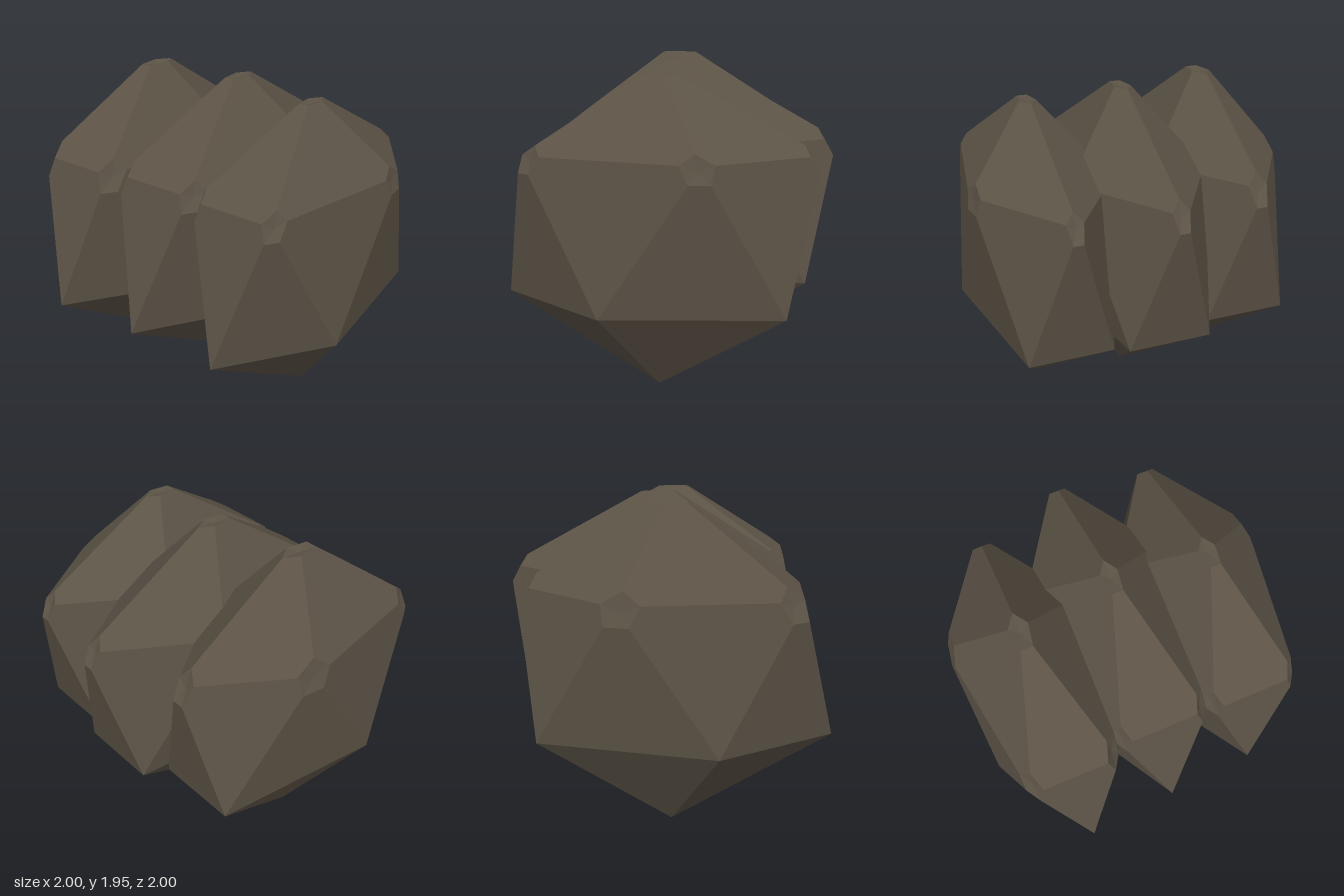
import * as THREE from 'three';

const material = new THREE.MeshStandardMaterial({ color: 0x5c5346, flatShading: true });

// Faces of an icosahedron standing on a point:
// 0 top, 1-5 upper ring, 6-10 lower ring, 11 bottom
const faces = [];
for (let i = 0; i < 5; i++) {
  const j = (i + 1) % 5;
  const u = 1 + i, uNext = 1 + j, l = 6 + i, lNext = 6 + j;
  faces.push([0, uNext, u], [u, uNext, l], [l, uNext, lNext], [l, lNext, 11]);
}

// Flattened icosahedral slab whose top and upper ring corners are chipped off
function slabGeometry({ x, z, top, upper, lower, bottom, cut }) {
  const ring = (r, start) => Array.from({ length: 5 }, (_, i) => {
    const a = start + i * Math.PI * 0.4;
    return new THREE.Vector3(r.x + r.radius * Math.cos(a), r.y, z + r.radius * r.depth * Math.sin(a));
  });
  const corners = [
    new THREE.Vector3(x, top, z),
    ...ring(upper, 0),
    ...ring(lower, Math.PI / 5),
    new THREE.Vector3(x, bottom, z),
  ];
  const isCut = (i) => i < 6;
  const chip = (from, to) => corners[from].clone().lerp(corners[to], cut);

  // Slightly hollow centre of each chip
  const centres = corners.map((c, i) => {
    const mean = new THREE.Vector3();
    for (const f of faces) {
      const k = f.indexOf(i);
      if (k >= 0) mean.addScaledVector(corners[f[(k + 1) % 3]], 0.2);
    }
    return c.clone().lerp(mean, cut * 1.2);
  });

  const points = [];
  for (const f of faces) {
    const outline = [];
    f.forEach((v, k) => {
      if (!isCut(v)) return outline.push(corners[v]);
      const a = chip(v, f[(k + 2) % 3]), b = chip(v, f[(k + 1) % 3]);
      outline.push(a, b);
      points.push(centres[v], b, a);
    });
    for (let k = 1; k < outline.length - 1; k++) points.push(outline[0], outline[k], outline[k + 1]);
  }
  const geometry = new THREE.BufferGeometry().setFromPoints(points);
  geometry.computeVertexNormals();
  return geometry;
}

export function createModel() {
  const group = new THREE.Group();
  group.name = 'rockSlabs';
  // Three overlapping slabs, front to back
  const slabs = {
    frontSlab: {
      x: 0.0, z: 0.57, top: 1.945, bottom: 0.015, cut: 0.115,
      upper: { x: 0.01, y: 1.45, radius: 0.925, depth: 0.49 },
      lower: { x: 0.01, y: 0.565, radius: 0.93, depth: 0.47 },
    },
    middleSlab: {
      x: 0.055, z: 0, top: 1.995, bottom: 0.01, cut: 0.12,
      upper: { x: 0.055, y: 1.46, radius: 0.965, depth: 0.47 },
      lower: { x: 0.045, y: 0.595, radius: 1.005, depth: 0.43 },
    },
    backSlab: {
      x: -0.055, z: -0.57, top: 2.02, bottom: 0, cut: 0.135,
      upper: { x: -0.06, y: 1.465, radius: 0.9, depth: 0.5 },
      lower: { x: -0.055, y: 0.595, radius: 0.945, depth: 0.46 },
    },
  };
  for (const [name, spec] of Object.entries(slabs)) {
    const mesh = new THREE.Mesh(slabGeometry(spec), material);
    mesh.name = name;
    group.add(mesh);
  }
  return group;
}
